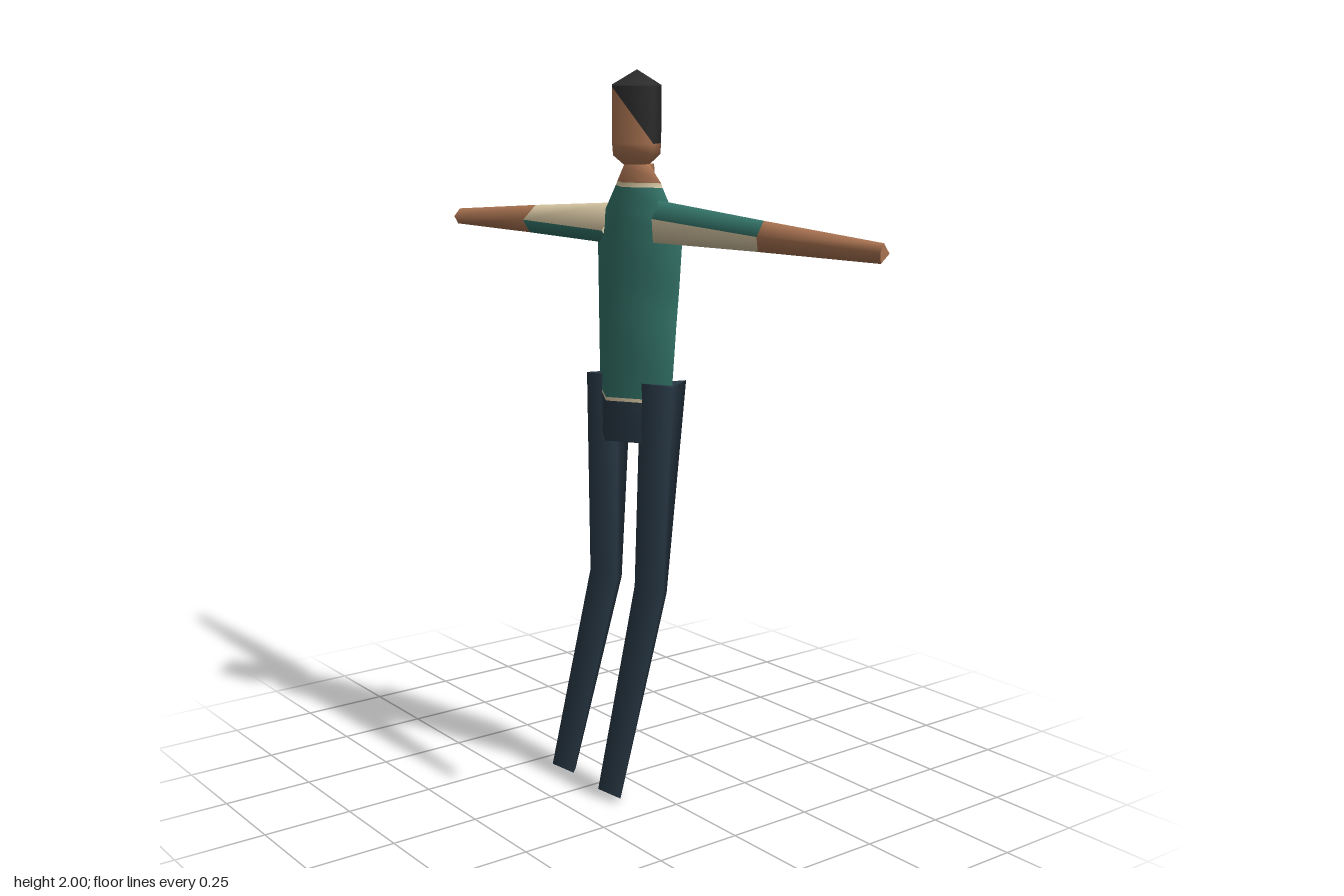
import * as THREE from 'three';

const material = (name, color) => Object.assign(new THREE.MeshStandardMaterial({ color }), { name });
const SKIN = 0, GREEN = 1, CREAM = 2, NAVY = 3, HAIR = 4;

// Smooth skin through rings of [x, y, z] points; paint(ring, column, half) picks the colour
// of each triangle. Ends are closed with flat caps.
function loft(name, rings, paint, materials) {
  const n = rings[0].length, last = rings.length - 1;
  const points = rings.flat();
  const faces = materials.map(() => []);
  for (let i = 0; i < last; i++) {
    for (let j = 0; j < n; j++) {
      const k = (j + 1) % n;
      const a = i * n + j, b = i * n + k, c = a + n, d = b + n;
      // the diagonal leans the other way on the second half of the ring
      if (j < n / 2) {
        faces[paint(i, j, 0)].push(a, b, c);
        faces[paint(i, j, 1)].push(b, d, c);
      } else {
        faces[paint(i, j, 0)].push(a, b, d);
        faces[paint(i, j, 1)].push(a, d, c);
      }
    }
  }
  for (const [ring, row, flip] of [[0, 0, true], [last, last - 1, false]]) {
    const s = points.length;
    points.push(...rings[ring]);
    for (let j = 1; j < n - 1; j++) {
      faces[paint(row, 0, ring ? 1 : 0)].push(s, ...(flip ? [s + j + 1, s + j] : [s + j, s + j + 1]));
    }
  }
  const g = new THREE.BufferGeometry();
  g.setAttribute('position', new THREE.Float32BufferAttribute(points.flat(), 3));
  g.setIndex(faces.flat());
  let start = 0;
  faces.forEach((f, m) => {
    if (f.length) g.addGroup(start, f.length, m);
    start += f.length;
  });
  g.computeVertexNormals();
  const mesh = new THREE.Mesh(g, materials);
  mesh.name = name;
  return mesh;
}

export function createModel() {
  const group = new THREE.Group();
  group.name = 'figure';
  const materials = [
    material('skin', 0xab7452),
    material('green shirt', 0x337368),
    material('cream trim', 0xdbcaa6),
    material('navy trousers', 0x283845),
    material('black hair', 0x2d2d2d),
  ];
  const add = (name, rings, paint) => group.add(loft(name, rings, paint, materials));

  // Torso: diamond rings [y, half width, front z, back z, edge of the back panel]
  const torso = [
    [1.0, 0.155, 0.06, -0.14, 0.95],
    [1.112, 0.162, 0.057, -0.141, 0.95],
    [1.122, 0.163, 0.057, -0.141, 0.95],
    [1.33, 0.176, 0.047, -0.143, 0.97],
    [1.43, 0.183, 0.041, -0.144, 0.74],
    [1.55, 0.19, 0.035, -0.144, 0.58],
    [1.62, 0.155, 0.025, -0.134, 0.45],
    [1.69, 0.105, 0.003, -0.112, 0.2],
    [1.702, 0.098, 0.0, -0.11, 0.2],
    [1.75, 0.045, -0.005, -0.107, 0.2],
  ].map(([y, w, f, b, t]) => {
    const c = (f + b) / 2, px = w * (1 - t), pz = c + (b - c) * t;
    return [[0, y, f], [w, y, c], [px, y, pz], [0, y, b], [-px, y, pz], [-w, y, c]];
  });
  add('torso', torso, (i, j) => {
    if (i === 0) return NAVY;
    if (i === 1 || i === 7) return CREAM;
    if (i === 8) return SKIN;
    return i >= 3 && (j === 2 || j === 3) ? CREAM : GREEN;
  });

  // Head: diamond rings [y, half width, half depth], hair above a pointed face
  const head = [
    [1.743, 0.025, 0.035],
    [1.775, 0.07, 0.08],
    [1.805, 0.073, 0.083],
    [1.955, 0.075, 0.084],
    [1.96, 0.075, 0.084],
    [2.0, 0.001, 0.001],
  ].map(([y, w, d]) => [[0, y, -0.048 + d], [w, y, -0.048], [0, y, -0.048 - d], [-w, y, -0.048]]);
  add('head', head, (i, j, half) => {
    if (i < 2) return SKIN;
    return i === 2 && (j === 0 || j === 3) && half === 0 ? SKIN : HAIR;
  });

  // Arms: four-cornered rings (top, front, bottom, back), each corner [y, z]
  const arm = (name, sections, paint) => add(name,
    sections.map(([x, ...corners]) => corners.map(([y, z]) => [x, y, z])), paint);
  arm('leftArm', [
    [0.115, [1.658, -0.035], [1.61, -0.01], [1.547, -0.015], [1.58, -0.112]],
    [0.525, [1.626, -0.043], [1.587, -0.02], [1.55, -0.025], [1.58, -0.09]],
    [0.935, [1.597, -0.045], [1.575, -0.034], [1.55, -0.037], [1.572, -0.064]],
  ], (i, j) => (i === 1 ? SKIN : j === 1 ? CREAM : GREEN));
  arm('rightArm', [
    [-0.935, [1.587, -0.052], [1.563, -0.032], [1.54, -0.045], [1.56, -0.065]],
    [-0.525, [1.616, -0.068], [1.574, -0.023], [1.536, -0.045], [1.572, -0.095]],
    [-0.115, [1.642, -0.068], [1.566, -0.013], [1.53, -0.04], [1.57, -0.112]],
  ], (i, j) => (i === 0 ? SKIN : j === 0 ? CREAM : GREEN));

  // Legs: three-cornered rings from foot to hip, bent at the knee
  const leg = [
    [[0.08, 0.027, 0.145], [0.157, 0.02, 0.125], [0.1, 0.003, 0.078]],
    [[0.063, 0.59, 0.005], [0.168, 0.58, -0.012], [0.092, 0.56, -0.086]],
    [[0.084, 1.165, 0.003], [0.185, 1.165, -0.03], [0.115, 1.165, -0.132]],
  ];
  const offsets = [-0.226, -0.212, -0.249];
  add('leftLeg', leg, () => NAVY);
  add('rightLeg', leg.map((ring, i) => ring.map(([x, y, z]) => [x + offsets[i], y, z])), () => NAVY);

  return group;
}
